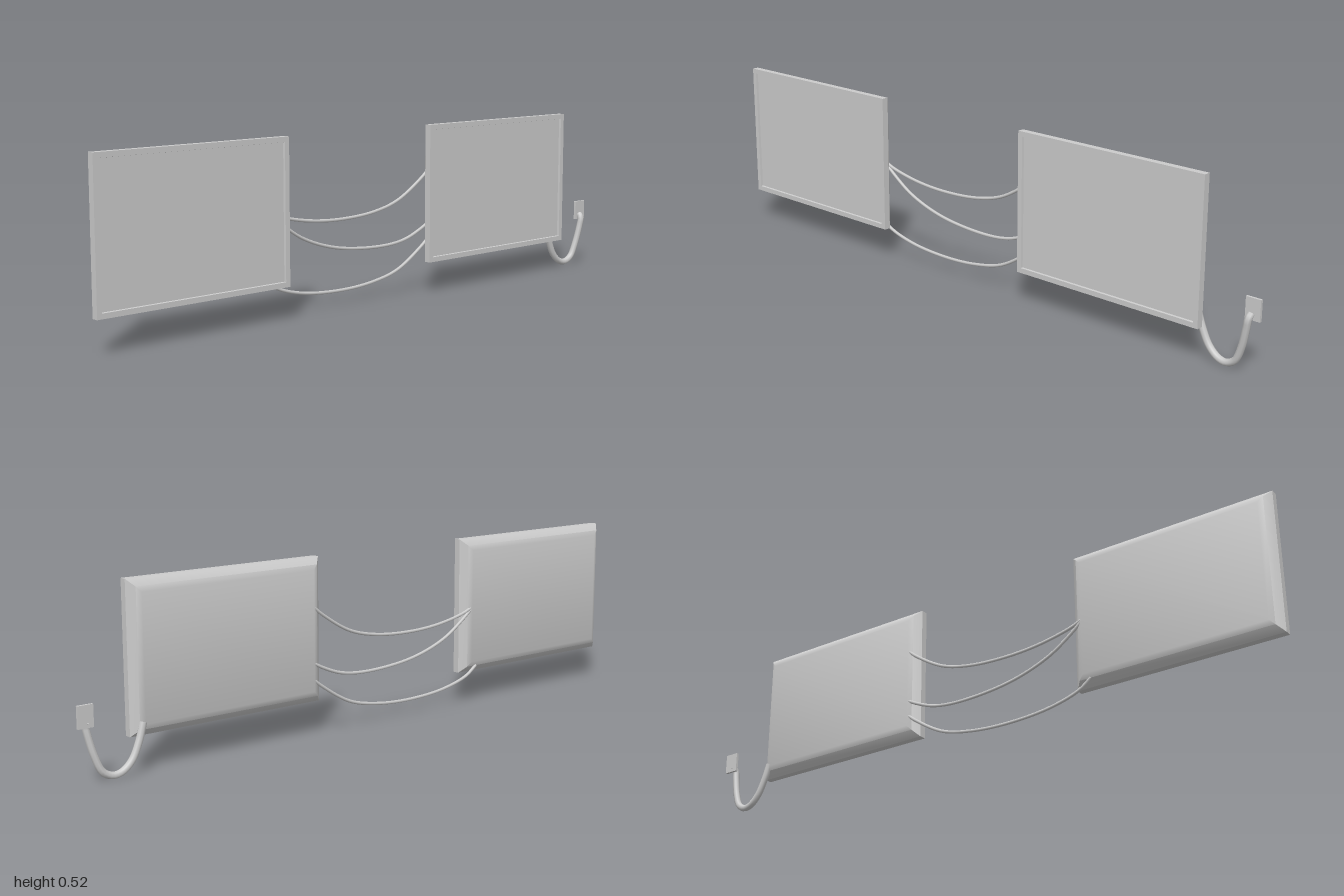
import * as THREE from 'three';
import { toCreasedNormals } from 'three/addons/utils/BufferGeometryUtils.js';

const grey = new THREE.MeshStandardMaterial({ color: 0xcccccc });

function addMesh(parent, name, geometry) {
  const mesh = new THREE.Mesh(geometry, grey);
  mesh.name = name;
  parent.add(mesh);
  return mesh;
}

// Rectangular rings joined from the recessed screen, over the rim, to the bevelled back
function panelGeometry(width, height) {
  const rings = [[0.016, 0.018], [0.015, 0.025], [0, 0.025], [0, 0.004], [0.02, -0.016], [0.035, -0.022]];
  const corners = [[-1, -1], [1, -1], [1, 1], [-1, 1]];
  const positions = [];
  const index = [];
  for (const [inset, z] of rings) {
    for (const [sx, sy] of corners) {
      positions.push(sx * (width / 2 - inset), sy * (height / 2 - inset), z);
    }
  }
  for (let i = 0; i < rings.length - 1; i++) {
    for (let j = 0; j < 4; j++) {
      const a = i * 4 + j, b = i * 4 + (j + 1) % 4;
      index.push(a, a + 4, b + 4, a, b + 4, b);
    }
  }
  const last = (rings.length - 1) * 4;
  index.push(0, 1, 2, 0, 2, 3);
  index.push(last, last + 2, last + 1, last, last + 3, last + 2);
  const geometry = new THREE.BufferGeometry();
  geometry.setAttribute('position', new THREE.Float32BufferAttribute(positions, 3));
  geometry.setIndex(index);
  return toCreasedNormals(geometry, 0.7);
}

// Round cable through a few points, closed at both ends
function addCable(parent, name, points, radius, segments, sides) {
  const cable = new THREE.Group();
  cable.name = name;
  const curve = new THREE.CatmullRomCurve3(points.map(p => new THREE.Vector3(...p)));
  addMesh(cable, name + 'Sleeve', new THREE.TubeGeometry(curve, segments, radius, sides));
  for (const t of [0, 1]) {
    const cap = addMesh(cable, name + 'End', new THREE.CircleGeometry(radius, sides));
    const outward = curve.getTangentAt(t).multiplyScalar(t ? 1 : -1);
    cap.position.copy(curve.getPointAt(t));
    cap.quaternion.setFromUnitVectors(new THREE.Vector3(0, 0, 1), outward);
  }
  parent.add(cable);
}

export function createModel() {
  const model = new THREE.Group();
  model.name = 'linkedPanels';

  // Two identical framed panels
  const panel = panelGeometry(0.637, 0.426);
  for (const [name, x] of [['rightPanel', -0.6815], ['leftPanel', 0.5165]]) {
    addMesh(model, name, panel).position.set(x, 0.311, 0);
  }

  // Three thin cables sagging between the panels
  const z = -0.016;
  addCable(model, 'upperCable', [
    [-0.4, 0.308, z], [-0.36, 0.292, z], [-0.25, 0.27, z], [-0.13, 0.263, z],
    [0, 0.272, z], [0.1, 0.298, z], [0.2, 0.357, z], [0.235, 0.385, z],
  ], 0.005, 40, 8);
  addCable(model, 'middleCable', [
    [-0.4, 0.305, z], [-0.36, 0.273, z], [-0.28, 0.222, z], [-0.15, 0.18, z],
    [0.03, 0.164, z], [0.13, 0.174, z], [0.2, 0.2, z], [0.235, 0.218, z],
  ], 0.005, 40, 8);
  addCable(model, 'lowerCable', [
    [-0.42, 0.118, z], [-0.38, 0.09, z], [-0.28, 0.062, z], [-0.13, 0.051, z],
    [0, 0.06, z], [0.1, 0.084, z], [0.2, 0.143, z], [0.235, 0.17, z],
  ], 0.005, 40, 8);

  // Thick lead that loops down, then up into the front of the wall plate
  addCable(model, 'powerLead', [
    [0.805, 0.14, -0.016], [0.821, 0.09, -0.018], [0.845, 0.042, -0.019], [0.875, 0.016, -0.018],
    [0.903, 0.011, -0.016], [0.931, 0.026, -0.014], [0.951, 0.07, -0.01],
    [0.966, 0.13, -0.004], [0.971, 0.158, -0.003], [0.973, 0.17, -0.013],
  ], 0.0105, 36, 8);

  addMesh(model, 'wallPlate', new THREE.BoxGeometry(0.046, 0.062, 0.008)).position.set(0.977, 0.183, -0.016);

  return model;
}
